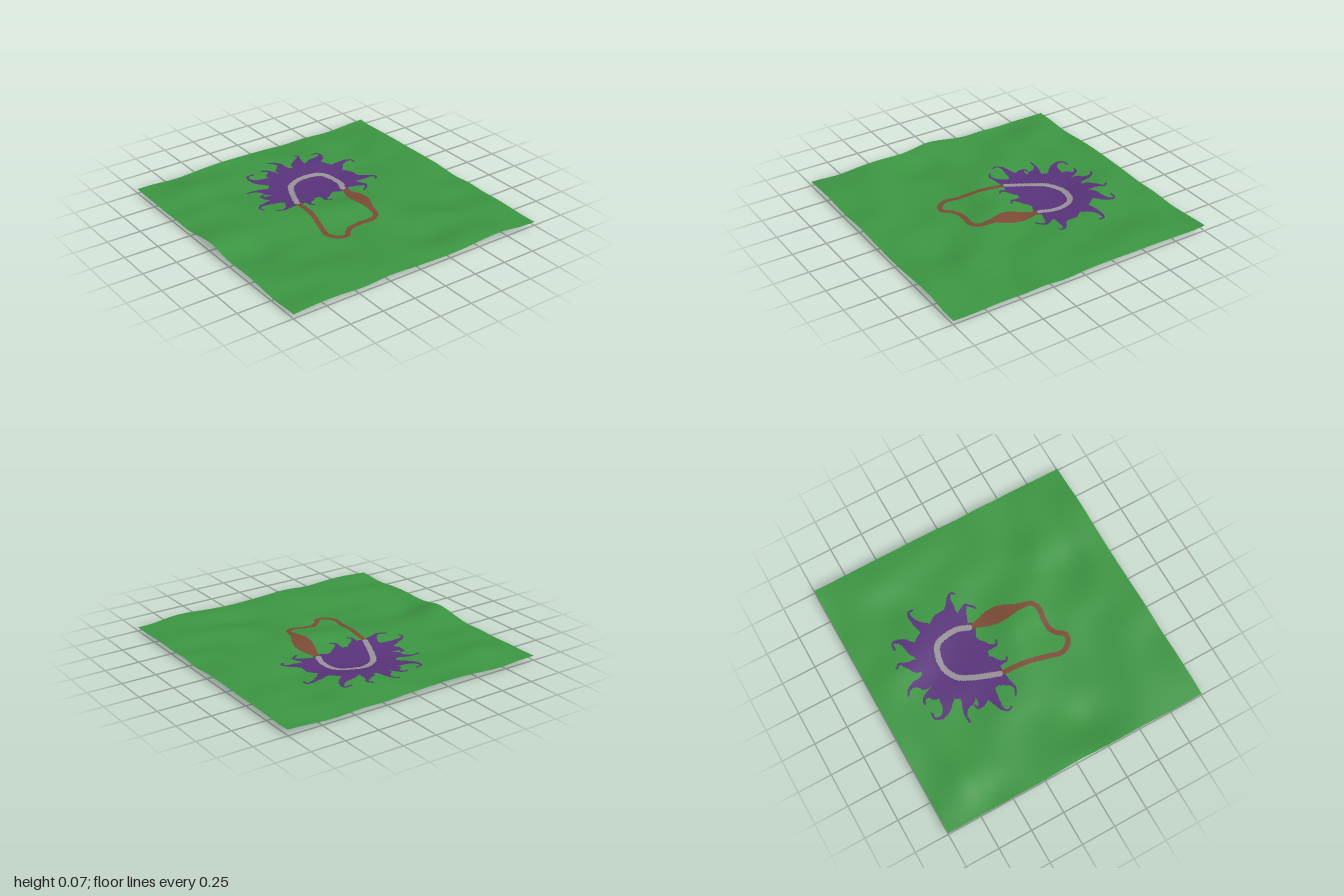
import * as THREE from 'three';

const CELLS = 260; // grid cells per side
const SIZE = 2;

// Plan coordinates below are [x, z] in hundredths of a unit.
const curve = (pts, closed = false) =>
  new THREE.CatmullRomCurve3(pts.map(([x, z]) => new THREE.Vector3(x / 100, 0, z / 100)), closed, 'centripetal');

// Round dabs along a curve; radius(t) sets the width of the stroke
function stroke(pts, radius, n = 60) {
  return curve(pts).getPoints(n).map((p, i) => ({ x: p.x, z: p.z, r: radius(i / n) }));
}
const inStroke = (dabs, x, z) => dabs.some((d) => (x - d.x) ** 2 + (z - d.z) ** 2 < d.r * d.r);

// Purple blot: rounded body
const body = curve([
  [-46, -36], [-40, -38], [-34, -42], [-26, -42], [-20, -38], [-18, -27], [-12, -23], [-16, -13],
  [-13, -6], [-15, 4], [-12, 13], [-14, 22], [-25, 27], [-34, 27], [-42, 23], [-50, 20],
  [-56, 13], [-60, 6], [-64, -1], [-62, -10], [-61, -19], [-62, -23], [-54, -32],
], true).getPoints(160);

function inBody(x, z) {
  let inside = false;
  for (let i = 0, j = body.length - 1; i < body.length; j = i++) {
    const a = body[i], b = body[j];
    if ((a.z > z) !== (b.z > z) && x < ((b.x - a.x) * (z - a.z)) / (b.z - a.z) + a.x) inside = !inside;
  }
  return inside;
}

// Purple blot: hooked, tapering tendrils from root to tip
const tendrils = [
  [[-44, -35], [-48, -42], [-50, -49], [-49, -53], [-46, -53]],
  [[-24, -38], [-21, -44], [-19, -49], [-16, -51], [-14, -49]],
  [[-20, -29], [-15, -35], [-11, -38], [-8, -36], [-6, -33]],
  [[-59, -26], [-63, -34], [-67, -37], [-70, -37], [-71, -32]],
  [[-63, -14], [-69, -18], [-73, -21], [-76, -19]],
  [[-64, -1], [-71, -3], [-76, -1], [-78, 2]],
  [[-61, 9], [-66, 8], [-70, 10], [-71, 13]],
  [[-56, 17], [-60, 24], [-66, 27], [-70, 25], [-70, 21]],
  [[-43, 24], [-48, 29], [-50, 34], [-50, 39]],
  [[-33, 27], [-37, 32], [-40, 33], [-41, 30]],
  [[-28, 26], [-27, 36], [-26, 42], [-23, 45], [-20, 44]],
  [[-17, 22], [-13, 28], [-11, 33], [-13, 38]],
  [[-17, 9], [-11, 12], [-7, 13], [-5, 11]],
  [[-17, -5], [-11, -2], [-7, -1], [-5, -4]],
].map((p) => stroke(p, (t) => 0.007 + 0.043 * (1 - t) ** 3));

// Track: grey half loop on the blot, brown half loop on the grass
const greyTrack = stroke([
  [-17, -22], [-25, -25], [-33, -25], [-42, -22], [-46, -15], [-47, -4], [-42, 6], [-32, 12], [-15, 19],
], () => 0.021, 120);
const brownTrack = stroke([
  [-15, 19], [6, 21], [22, 24], [31, 26], [38, 22], [40, 16], [35, 11], [32, 6],
  [32, -2], [33, -11], [30, -16], [24, -18], [15, -19.5], [4, -20.5], [-17, -22],
], () => 0.019, 200);
// Wide bulge on the back straight
const bulge = stroke([[-17, -22], [4, -20.5], [25, -17]], (t) => 0.018 + 0.047 * Math.sin(Math.PI * t) ** 2);

// Material index at a plan position
function paint(x, z) {
  if (x < -0.82 || x > 0.46 || Math.abs(z) > 0.58) return 0;
  if (inStroke(greyTrack, x, z)) return 2;
  if (inStroke(brownTrack, x, z) || inStroke(bulge, x, z)) return 3;
  if (inBody(x, z) || tendrils.some((t) => inStroke(t, x, z))) return 1;
  return 0;
}

// Humps and hollows: x, z, height, radius
const mounds = [
  [0.03, 1.0, 0.05, 0.17], [0.2, 0.76, -0.042, 0.17],
  [0.5, -0.5, 0.02, 0.15], [0.7, -0.32, -0.02, 0.15],
  [0.12, -0.08, 0.012, 0.13], [0.3, 0.06, -0.012, 0.13],
  [-0.6, -0.85, 0.028, 0.18], [-0.55, -0.6, -0.014, 0.16],
  [-0.72, 0.72, 0.018, 0.15], [-0.54, 0.92, -0.018, 0.15],
];

// Gentle rolling ground with diagonal ridges, plus the mounds, about a mean level
function height(x, z) {
  const u = x + z, v = x - z;
  const ripples = 0.007 * Math.sin(5.2 * u + 0.9 * Math.sin(2.6 * v + 0.5) + 0.4)
    + 0.006 * Math.sin(7.5 * x - 2.1 * z + 1.2 * Math.sin(3.1 * z) + 1.3)
    + 0.005 * Math.sin(8.3 * z + 2.4 * x + Math.sin(4.2 * x + 0.8))
    + 0.004 * Math.sin(12.5 * x + 9 * z + 1.5 * Math.sin(5 * v));
  const y = mounds.reduce((s, [mx, mz, h, r]) => s + h * Math.exp(-((x - mx) ** 2 + (z - mz) ** 2) / (r * r)), ripples);
  return THREE.MathUtils.clamp(0.043 + y, 0, 0.084);
}

export function createModel() {
  const material = (name, color) => {
    const m = new THREE.MeshStandardMaterial({ color, side: THREE.DoubleSide });
    m.name = name;
    return m;
  };
  const materials = [
    material('grass green', 0x3c9642),
    material('blot purple', 0x59337b),
    material('track grey', 0x979297),
    material('track brown', 0x7c4b35),
  ];

  // Rolling sheet
  const geometry = new THREE.PlaneGeometry(SIZE, SIZE, CELLS, CELLS).rotateX(-Math.PI / 2);
  const pos = geometry.attributes.position;
  for (let i = 0; i < pos.count; i++) pos.setY(i, height(pos.getX(i), pos.getZ(i)));
  geometry.computeVertexNormals();

  // Sort the faces by colour into geometry groups
  const index = geometry.index.array;
  const sorted = materials.map(() => []);
  for (let i = 0; i < index.length; i += 3) {
    const [a, b, c] = [index[i], index[i + 1], index[i + 2]];
    const x = (pos.getX(a) + pos.getX(b) + pos.getX(c)) / 3;
    const z = (pos.getZ(a) + pos.getZ(b) + pos.getZ(c)) / 3;
    sorted[paint(x, z)].push(a, b, c);
  }
  geometry.setIndex(sorted.flat());
  geometry.clearGroups();
  let start = 0;
  sorted.forEach((faces, m) => {
    geometry.addGroup(start, faces.length, m);
    start += faces.length;
  });

  const ground = new THREE.Mesh(geometry, materials);
  ground.name = 'paintedGround';
  const group = new THREE.Group();
  group.name = 'terrain';
  group.add(ground);
  return group;
}
